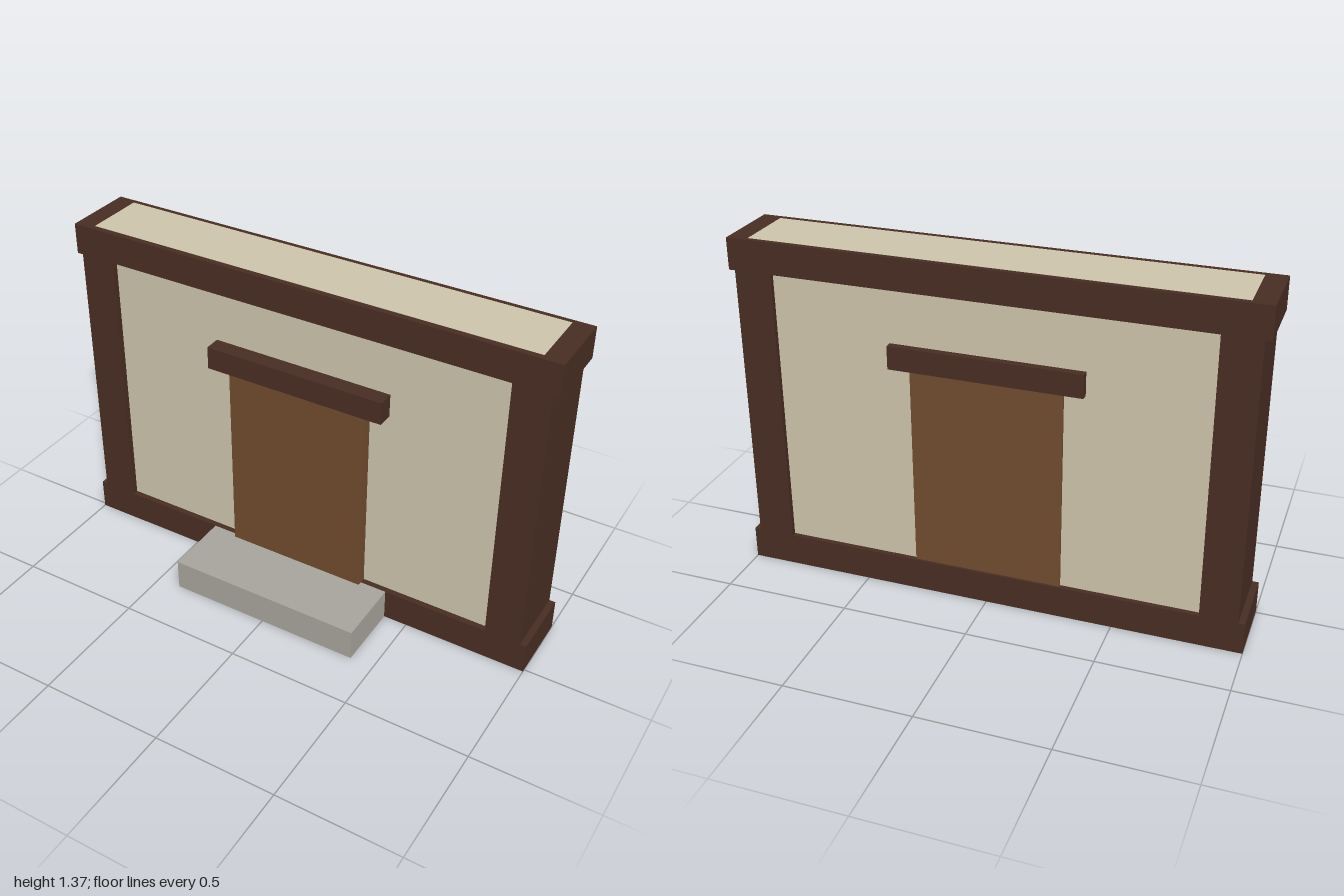
import * as THREE from 'three';

export function createModel() {
  const group = new THREE.Group();
  const paint = (name, color) => {
    const m = new THREE.MeshStandardMaterial({ color });
    m.name = name;
    return m;
  };
  const timber = paint('dark timber', 0x482d23);
  const wood = paint('door wood', 0x704b2e);
  const plaster = paint('plaster', 0xccc3aa);
  const stone = paint('stone', 0xa6a39b);

  // Box given by its min and max on each axis
  const box = (name, material, [x0, x1], [y0, y1], [z0, z1]) => {
    const mesh = new THREE.Mesh(new THREE.BoxGeometry(x1 - x0, y1 - y0, z1 - z0), material);
    mesh.position.set((x0 + x1) / 2, (y0 + y1) / 2, (z0 + z1) / 2);
    mesh.name = name;
    group.add(mesh);
  };

  const height = 1.37;
  const depth = [-0.277, 0.012];

  // Plaster core, a hair taller than the beams so it shows above and below
  box('wallPanel', plaster, [-0.92, 0.92], [0, height], [-0.257, -0.012]);

  // Timber frame
  box('bottomBeam', timber, [-1, 1], [0.001, 0.13], depth);
  box('topBeam', timber, [-1, 1], [1.245, height - 0.001], depth);
  box('leftPost', timber, [0.83, 0.975], [0.13, 1.245], depth);
  box('rightPost', timber, [-0.975, -0.83], [0.13, 1.245], depth);

  // Door running through the wall, with its lintel
  box('door', wood, [-0.293, 0.293], [0.13, 0.94], [-0.268, 0.03]);
  box('lintel', timber, [-0.372, 0.372], [0.94, 1.032], [-0.286, 0.054]);

  // Doorstep
  box('doorstep', stone, [-0.403, 0.403], [0, 0.13], [0.012, 0.286]);

  return group;
}
